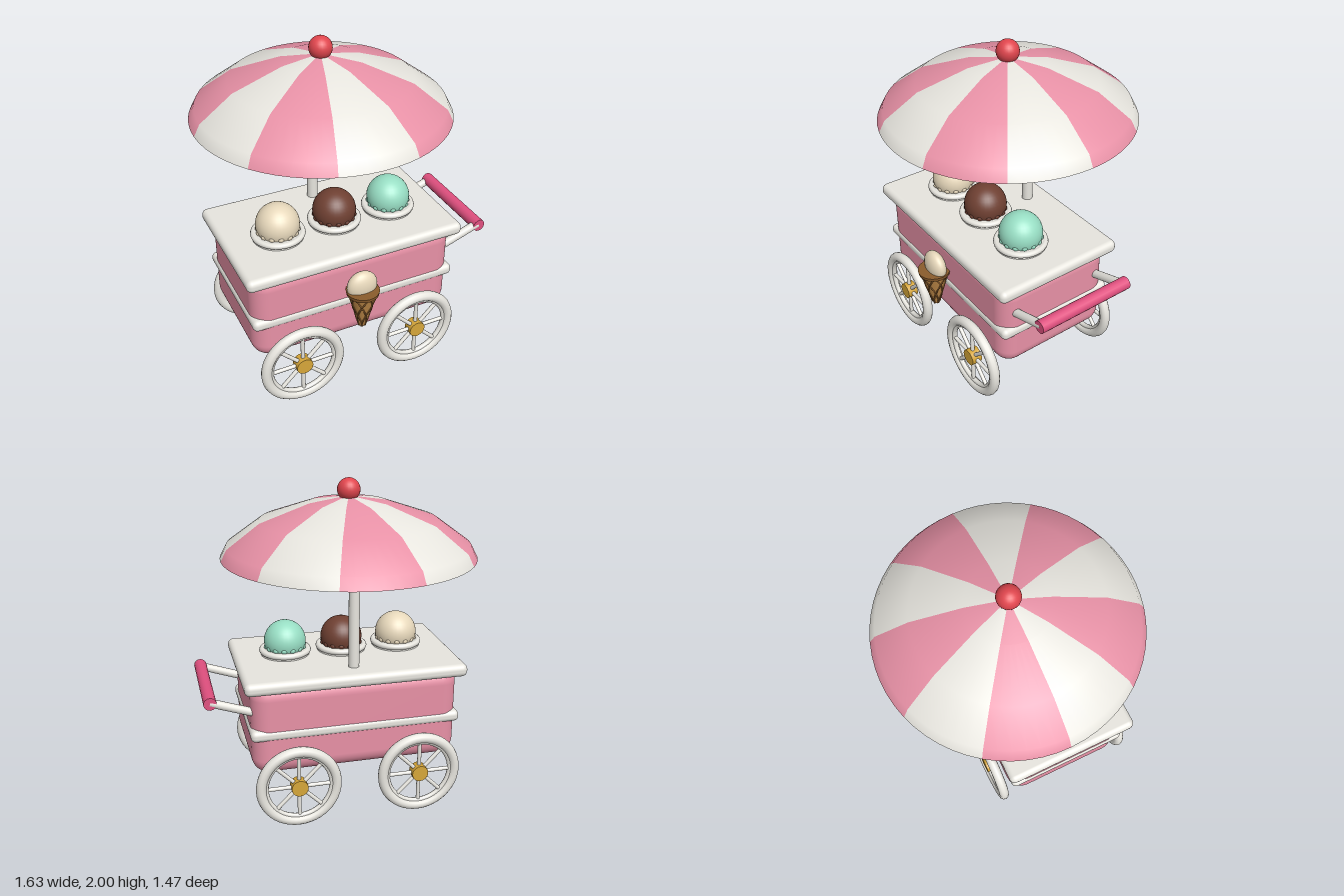
import * as THREE from 'three';
import { RoundedBoxGeometry } from 'three/addons/geometries/RoundedBoxGeometry.js';

const paint = (name, color, extra = {}) => {
  const m = new THREE.MeshStandardMaterial({ color, ...extra });
  m.name = name;
  return m;
};

export function createModel() {
  const white = paint('white', 0xf3f1ea, { side: THREE.DoubleSide });
  const pink = paint('pink', 0xf197ad, { side: THREE.DoubleSide });
  const deepPink = paint('deep pink', 0xe0507f);
  const red = paint('cherry red', 0xe0454d);
  const gold = paint('gold', 0xd6a63a);
  const vanilla = paint('vanilla', 0xe8d9bc);
  const chocolate = paint('chocolate', 0x6f4032);
  const mint = paint('mint', 0x98dec4);
  const waffle = paint('waffle', 0xc08a48);
  const darkWaffle = paint('dark waffle', 0x8a5c2c);

  const model = new THREE.Group();
  model.name = 'iceCreamCart';
  const CX = -0.08, CZ = 0.115;

  const add = (parent, name, geometry, material, x = 0, y = 0, z = 0) => {
    const mesh = new THREE.Mesh(geometry, material);
    mesh.name = name;
    mesh.position.set(x, y, z);
    parent.add(mesh);
    return mesh;
  };
  const group = (name, x, y, z) => {
    const g = new THREE.Group();
    g.name = name;
    g.position.set(x, y, z);
    model.add(g);
    return g;
  };
  // Round bar between two points
  const bar = (parent, name, a, b, r, material) => {
    const dir = b.clone().sub(a);
    const m = add(parent, name, new THREE.CylinderGeometry(r, r, dir.length(), 16), material);
    m.position.copy(a).add(b).multiplyScalar(0.5);
    m.quaternion.setFromUnitVectors(new THREE.Vector3(0, 1, 0), dir.normalize());
    return m;
  };

  // Cart body, trim band and counter
  add(model, 'body', new RoundedBoxGeometry(1.25, 0.58, 0.737, 6, 0.1), pink, CX, 0.6, CZ);
  add(model, 'trimBand', new RoundedBoxGeometry(1.27, 0.07, 0.752, 4, 0.03), white, CX, 0.577, CZ);
  add(model, 'counter', new RoundedBoxGeometry(1.33, 0.078, 0.81, 4, 0.034), white, CX, 0.882, CZ);

  // Three tubs, each with a scoop and a frilled lower edge
  [vanilla, chocolate, mint].forEach((flavour, i) => {
    const tub = group('tub', CX + (i - 1) * 0.352, 0.915, 0.17);
    add(tub, 'dish', new THREE.CylinderGeometry(0.142, 0.15, 0.045, 32), white, 0, 0.022, 0);
    const rim = add(tub, 'dishRim', new THREE.TorusGeometry(0.14, 0.018, 10, 40), white, 0, 0.03, 0);
    rim.rotation.x = Math.PI / 2;
    add(tub, 'scoop', new THREE.SphereGeometry(0.127, 32, 20), flavour, 0, 0.088, 0);
    for (let k = 0; k < 14; k++) {
      const a = (k / 14) * Math.PI * 2;
      add(tub, 'scoopFrill', new THREE.SphereGeometry(0.02, 10, 8), flavour,
        0.11 * Math.cos(a), 0.056, 0.11 * Math.sin(a));
    }
  });

  // Parasol: pole, ten canopy panels and a ball on top
  add(model, 'pole', new THREE.CylinderGeometry(0.032, 0.032, 0.88, 20), white, CX, 1.34, -0.14);
  const parasol = group('parasol', CX, 0, 0);
  const profile = [[0.735, 1.56], [0.7, 1.627], [0.512, 1.765], [0.226, 1.865], [0.001, 1.9]]
    .map(([r, y]) => new THREE.Vector2(r, y));
  const panels = 10, step = (Math.PI * 2) / panels;
  for (let k = 0; k < panels; k++) {
    add(parasol, 'canopyPanel', new THREE.LatheGeometry(profile, 6, (k - 0.5) * step, step),
      k % 2 ? pink : white);
  }
  add(parasol, 'topBall', new THREE.SphereGeometry(0.066, 24, 16), red, 0, 1.934, 0);

  // Push handle
  const handle = group('handle', 0, 0, 0);
  for (const z of [-0.17, 0.397]) {
    bar(handle, 'handleArm', new THREE.Vector3(0.5, 0.695, z), new THREE.Vector3(0.773, 0.79, z), 0.025, white);
  }
  bar(handle, 'handleGrip', new THREE.Vector3(0.773, 0.79, -0.193), new THREE.Vector3(0.773, 0.79, 0.42), 0.038, deepPink);

  // Four spoked wheels
  for (const x of [-0.45, 0.29]) {
    for (const z of [-0.305, 0.535]) {
      const wheel = group('wheel', x, 0.259, z);
      add(wheel, 'tire', new THREE.TorusGeometry(0.226, 0.031, 12, 48), white);
      add(wheel, 'innerRim', new THREE.TorusGeometry(0.198, 0.016, 8, 48), white);
      for (let k = 0; k < 4; k++) {
        const a = (k * Math.PI) / 4;
        const tip = new THREE.Vector3(Math.cos(a), Math.sin(a), 0).multiplyScalar(0.2);
        bar(wheel, 'spokePair', tip.clone().negate(), tip, 0.012, white);
      }
      const hub = add(wheel, 'hub', new THREE.CylinderGeometry(0.05, 0.05, 0.064, 20), gold);
      hub.rotation.x = Math.PI / 2;
    }
  }

  // Ice cream cone on the front
  const cone = group('cone', CX, 0, 0.548);
  const top = 0.675, bottom = 0.43, rTop = 0.085, rBottom = 0.02;
  add(cone, 'coneShell', new THREE.CylinderGeometry(rTop, rBottom, top - bottom, 28), waffle, 0, (top + bottom) / 2, 0);
  add(cone, 'coneRim', new THREE.CylinderGeometry(0.097, 0.093, 0.022, 28), darkWaffle, 0, 0.672, 0);
  const scoop = add(cone, 'coneScoop', new THREE.SphereGeometry(0.093, 28, 18), vanilla, 0, 0.707, -0.01);
  scoop.scale.z = 0.56;
  // Criss-cross waffle ridges winding down the cone
  for (const turn of [-1, 1]) {
    for (let k = 0; k < 6; k++) {
      const pts = [];
      for (let i = 0; i <= 8; i++) {
        const t = i / 8, a = (k / 6) * Math.PI * 2 + turn * t * 1.7;
        const r = rTop + (rBottom - rTop) * t;
        pts.push(new THREE.Vector3(r * Math.sin(a), top + (bottom - top) * t, r * Math.cos(a)));
      }
      add(cone, 'waffleRidge', new THREE.TubeGeometry(new THREE.CatmullRomCurve3(pts), 16, 0.005, 6), darkWaffle);
    }
  }
  return model;
}
